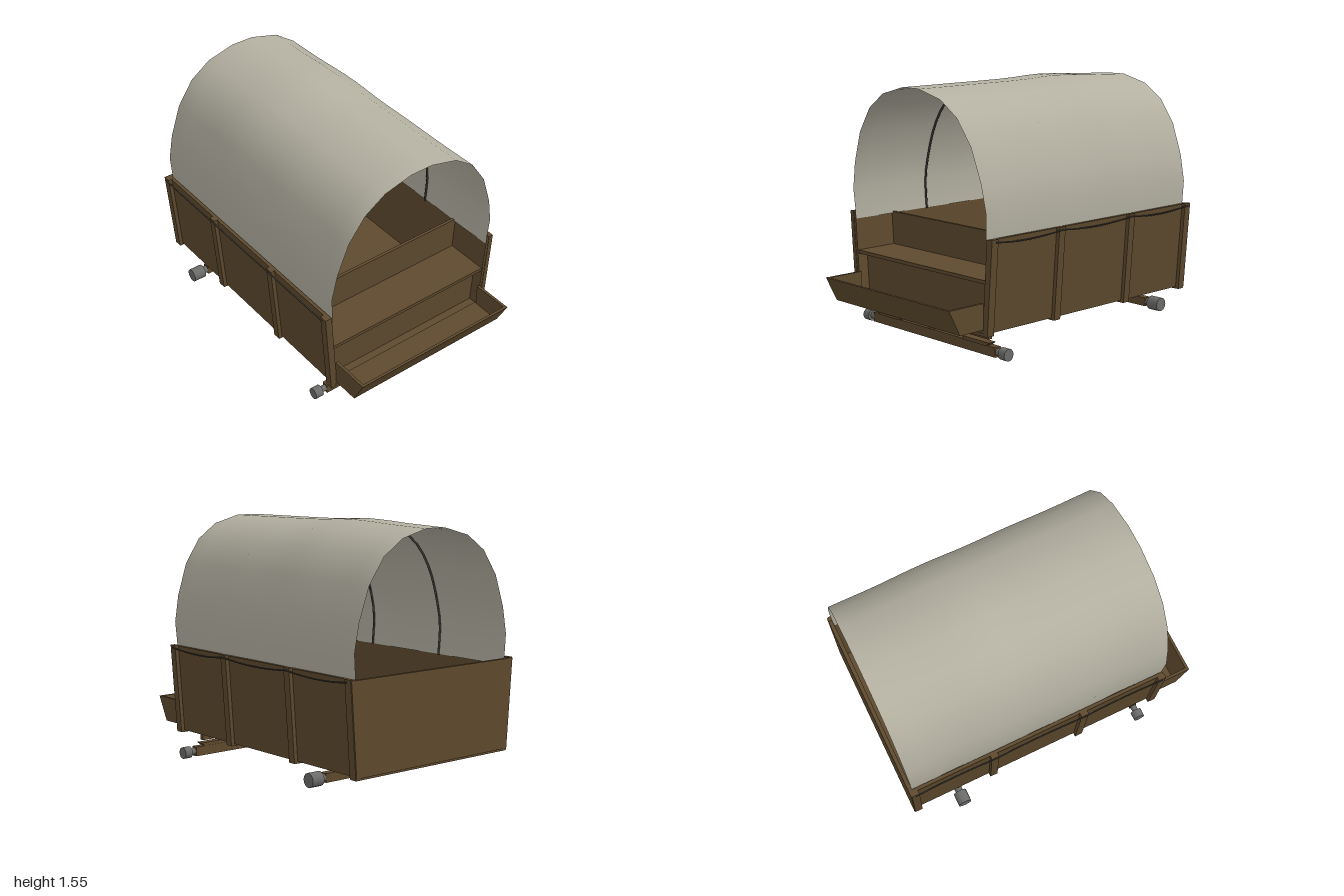
import * as THREE from 'three';

const wood = new THREE.MeshStandardMaterial({ color: 0x5f4a2e });
wood.name = 'brown wood';
const canvas = new THREE.MeshStandardMaterial({ color: 0xb4b1a2, side: THREE.DoubleSide });
canvas.name = 'pale canvas';
const iron = new THREE.MeshStandardMaterial({ color: 0x6c6c6a });
iron.name = 'grey iron';
const dark = new THREE.MeshStandardMaterial({ color: 0x45413a });
dark.name = 'dark cord';

const POSTS = [0.72, 0.18, -0.435, -0.97];

// Half outline of the canvas, from the right wall up to the ridge
const HALF = [[0.592, 0.68], [0.604, 0.87], [0.572, 1.04], [0.502, 1.24], [0.395, 1.395], [0.26, 1.49], [0.075, 1.54]];
const ARCH = [...HALF, ...HALF.map(([x, y]) => [-x, y]).reverse()];

function add(group, name, geo, mat) {
  const mesh = new THREE.Mesh(geo, mat);
  mesh.name = name;
  group.add(mesh);
  return mesh;
}

// Box given by its min and max corners
function block(x0, x1, y0, y1, z0, z1) {
  return new THREE.BoxGeometry(x1 - x0, y1 - y0, z1 - z0)
    .translate((x0 + x1) / 2, (y0 + y1) / 2, (z0 + z1) / 2);
}

// Widens the body towards its top
function flare(geo) {
  const p = geo.attributes.position;
  for (let i = 0; i < p.count; i++) p.setX(i, p.getX(i) * (1 + 0.12 * (p.getY(i) - 0.17)));
  geo.computeVertexNormals();
  return geo;
}

// Straight bar of square section between two points
function bar(a, b, w) {
  const from = new THREE.Vector3(...a), to = new THREE.Vector3(...b);
  const geo = new THREE.BoxGeometry(w, w, from.distanceTo(to));
  const turn = new THREE.Quaternion().setFromUnitVectors(new THREE.Vector3(0, 0, 1), to.clone().sub(from).normalize());
  const mid = from.add(to).multiplyScalar(0.5);
  return geo.applyQuaternion(turn).translate(mid.x, mid.y, mid.z);
}

function buildBody() {
  const g = new THREE.Group();
  g.name = 'wagonBody';
  add(g, 'floor', block(-0.575, 0.575, 0.17, 0.195, -0.99, 0.74), wood);
  add(g, 'backWall', flare(block(-0.603, 0.603, 0.17, 0.72, -1, -0.975)), wood);
  for (const s of [1, -1]) {
    const side = (a, b, ...r) => flare(block(Math.min(s * a, s * b), Math.max(s * a, s * b), ...r));
    add(g, 'sideWall', side(0.562, 0.582, 0.17, 0.72, -0.98, 0.742), wood);
    for (const z of POSTS) add(g, 'sidePost', side(0.578, 0.606, 0.16, 0.725, z - 0.025, z + 0.025), wood);
    // Cord sagging from post to post
    for (let i = 0; i < 3; i++) {
      const a = POSTS[i], b = POSTS[i + 1], x = s * 0.625;
      const curve = new THREE.QuadraticBezierCurve3(
        new THREE.Vector3(s * 0.648, 0.71, a), new THREE.Vector3(x, 0.67, (a + b) / 2), new THREE.Vector3(s * 0.648, 0.71, b));
      add(g, 'sideCord', new THREE.TubeGeometry(curve, 8, 0.005, 5), dark);
    }
  }
  for (const z of POSTS) add(g, 'crossBeam', block(-0.602, 0.602, 0.157, 0.175, z - 0.024, z + 0.024), wood);
  // Driver's bench
  add(g, 'seat', flare(block(-0.562, 0.562, 0.46, 0.482, 0.44, 0.735)), wood);
  add(g, 'seatRiser', flare(block(-0.562, 0.562, 0.19, 0.46, 0.65, 0.67)), wood);
  add(g, 'seatBack', flare(block(-0.562, 0.562, 0.46, 0.69, 0.435, 0.455)), wood);
  return g;
}

function buildFootBox() {
  const g = new THREE.Group();
  g.name = 'footBox';
  const end = new THREE.Shape([[0.74, 0.195], [0.92, 0.195], [1, 0.35], [0.74, 0.35]].map(p => new THREE.Vector2(...p)));
  const front = new THREE.Shape([[0.905, 0.195], [0.92, 0.195], [1, 0.35], [0.982, 0.35]].map(p => new THREE.Vector2(...p)));
  // Shapes lie in z and y and are turned to run along x
  const slab = (shape, x, w) => new THREE.ExtrudeGeometry(shape, { depth: w, bevelEnabled: false })
    .rotateY(-Math.PI / 2).translate(x + w, 0, 0);
  add(g, 'footBoxEnd', slab(end, 0.552, 0.018), wood);
  add(g, 'footBoxEnd', slab(end, -0.57, 0.018), wood);
  add(g, 'footBoxFront', slab(front, -0.553, 1.106), wood);
  add(g, 'footBoxFloor', block(-0.56, 0.56, 0.195, 0.21, 0.73, 0.91), wood);
  return g;
}

function buildCover() {
  const g = new THREE.Group();
  g.name = 'cover';
  const rows = 16, pos = [], idx = [], n = ARCH.length;
  for (let r = 0; r <= rows; r++) {
    const t = r / rows;
    // The cloth dips a little between the hoops
    const dip = 1 - 0.008 * Math.sin(t * Math.PI * 3) ** 2;
    for (const [x, y] of ARCH) {
      const h = (y - 0.68) / 0.86;
      const z = THREE.MathUtils.lerp(0.742 + 0.043 * h, -0.978 - 0.007 * h, t);
      const ridge = h * (0.012 * Math.exp(-(((z + 0.32) / 0.2) ** 2)) - 0.018 * Math.max(0, t - 0.75) * 4 - 0.008 * (1 - t));
      pos.push(x * dip, y + ridge, z);
    }
  }
  for (let r = 0; r < rows; r++) {
    for (let i = 0; i < n - 1; i++) {
      const a = r * n + i, b = a + n;
      idx.push(a, b, a + 1, b, b + 1, a + 1);
    }
  }
  const geo = new THREE.BufferGeometry();
  geo.setAttribute('position', new THREE.Float32BufferAttribute(pos, 3));
  geo.setIndex(idx);
  geo.computeVertexNormals();
  add(g, 'canvasCover', geo, canvas);
  // Hoops under the cloth
  for (const z of [0.18, -0.435]) {
    const curve = new THREE.CatmullRomCurve3(ARCH.map(([x, y]) => new THREE.Vector3(x * 0.978, 0.7 + (y - 0.7) * 0.978, z)));
    add(g, 'hoop', new THREE.TubeGeometry(curve, 28, 0.007, 5), dark);
  }
  return g;
}

// Axle with a neck and a round iron hub at both ends
function buildAxle(name, z, y, half, depth, h, hubIn, hubOut, r) {
  const g = new THREE.Group();
  g.name = name;
  add(g, 'axleBeam', block(-half, half, y - h, y + h, z - depth, z + depth), wood);
  for (const s of [1, -1]) {
    const along = (a, b, rad) => new THREE.CylinderGeometry(rad, rad, b - a, 14)
      .rotateZ(Math.PI / 2).translate(s * (a + b) / 2, y, z);
    add(g, 'hubNeck', along(half - 0.01, hubIn + 0.01, r * 0.55), iron);
    add(g, 'hub', along(hubIn, hubOut, r), iron);
  }
  return g;
}

function buildUndercarriage() {
  const g = new THREE.Group();
  g.name = 'undercarriage';
  g.add(buildAxle('frontAxle', 0.62, 0.04, 0.56, 0.022, 0.03, 0.597, 0.65, 0.037));
  g.add(buildAxle('rearAxle', -0.68, 0.115, 0.572, 0.024, 0.027, 0.6, 0.683, 0.043));
  add(g, 'frontBolster', block(-0.5, 0.5, 0.105, 0.16, 0.61, 0.638), wood);
  add(g, 'rearBolster', block(-0.5, 0.5, 0.135, 0.17, -0.7, -0.66), wood);
  // Tapered brackets on the front axle
  for (const s of [1, -1]) {
    const pts = [[0.3, 0.068], [0.49, 0.068], [0.52, 0.09], [0.28, 0.09]];
    const shape = new THREE.Shape(pts.map(([x, y]) => new THREE.Vector2(s * x, y)));
    add(g, 'axleBracket', new THREE.ExtrudeGeometry(shape, { depth: 0.05, bevelEnabled: false }).translate(0, 0, 0.6), wood);
  }
  add(g, 'kingPin', new THREE.CylinderGeometry(0.018, 0.018, 0.06, 8).translate(0, 0.09, 0.62), wood);
  // Reach pole, coupling and the two braces to the rear axle
  add(g, 'reachPole', bar([0, 0.08, 0.65], [0, 0.112, 0.12], 0.02), wood);
  add(g, 'coupling', block(-0.03, 0.03, 0.1, 0.125, 0.11, 0.155), wood);
  for (const s of [1, -1]) add(g, 'rearBrace', bar([s * 0.01, 0.112, 0.13], [s * 0.22, 0.15, -0.72], 0.012), wood);
  add(g, 'rearPole', bar([0, 0.112, 0.13], [0, 0.148, -0.68], 0.012), wood);
  return g;
}

export function createModel() {
  const model = new THREE.Group();
  model.name = 'coveredWagon';
  model.add(buildBody(), buildFootBox(), buildCover(), buildUndercarriage());
  return model;
}
